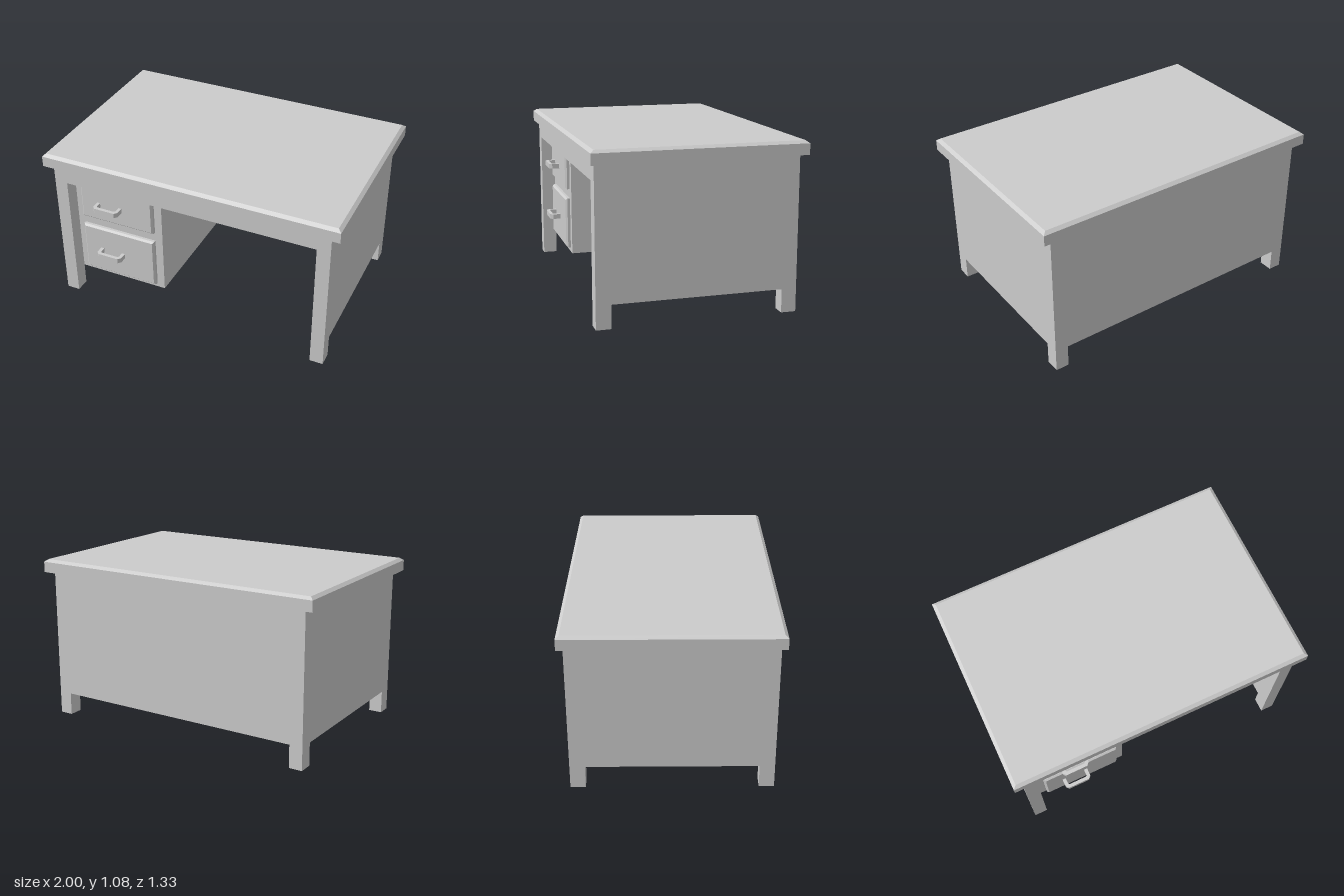
import * as THREE from 'three';

const grey = new THREE.MeshStandardMaterial({ color: 0xcccccc, flatShading: true });
const openGrey = new THREE.MeshStandardMaterial({ color: 0xcccccc, flatShading: true, side: THREE.DoubleSide });

// Outer half width, back and front of the body, and thickness of its walls
const W = 0.94, BACK = -0.63, FRONT = 0.635, TX = 0.088, TZ = 0.095;
const FLOOR = 0.15, LINTEL = 0.88, TOP = 0.99;

function add(parent, name, geometry, material = grey) {
  const mesh = new THREE.Mesh(geometry, material);
  mesh.name = name;
  parent.add(mesh);
  return mesh;
}

// Box given by its two extreme corners
function block(parent, name, [x0, y0, z0], [x1, y1, z1]) {
  const g = new THREE.BoxGeometry(x1 - x0, y1 - y0, z1 - z0);
  return add(parent, name, g.translate((x0 + x1) / 2, (y0 + y1) / 2, (z0 + z1) / 2));
}

// Slab standing on y = 0 whose upper rim is chamfered
function bevelledSlab(w, h, d, rise, inset) {
  const g = new THREE.BoxGeometry(w, h, d, 1, 2, 1);
  const p = g.attributes.position;
  for (let i = 0; i < p.count; i++) {
    const y = p.getY(i);
    if (y > h / 4) {
      p.setXYZ(i, Math.sign(p.getX(i)) * (w / 2 - inset), h, Math.sign(p.getZ(i)) * (d / 2 - inset));
    } else {
      p.setY(i, y < -h / 4 ? 0 : h - rise);
    }
  }
  g.computeVertexNormals();
  return g;
}

// Square foot, open underneath
function foot(parent, name, x, z) {
  const g = new THREE.CylinderGeometry(Math.SQRT1_2, Math.SQRT1_2, 1, 4, 1, true);
  g.rotateY(Math.PI / 4).scale(TX, FLOOR, TZ).translate(x, FLOOR / 2, z);
  add(parent, name, g, openGrey);
}

// Bow handle: a flat bar with slanted ends, reaching out along +z
function handleGeometry() {
  const outline = [[-0.09, 0], [-0.09, 0.05], [-0.072, 0.07], [0.072, 0.07], [0.09, 0.05], [0.09, 0],
    [0.068, 0], [0.068, 0.04], [0.06, 0.048], [-0.06, 0.048], [-0.068, 0.04], [-0.068, 0]];
  const shape = new THREE.Shape(outline.map(([x, y]) => new THREE.Vector2(x, y)));
  const g = new THREE.ExtrudeGeometry(shape, { depth: 0.033, bevelEnabled: false });
  return g.translate(0, 0, -0.0165).rotateX(Math.PI / 2);
}

export function createModel() {
  const desk = new THREE.Group();
  desk.name = 'desk';

  // Worktop
  add(desk, 'worktop', bevelledSlab(2, 0.087, 1.33, 0.017, 0.022)).position.y = TOP;

  // Thick side walls, front posts and feet, mirrored
  for (const [s, side] of [[1, 'left'], [-1, 'right']]) {
    const x0 = s > 0 ? W - TX : -W, x1 = x0 + TX;
    block(desk, side + 'SideWall', [x0, FLOOR, BACK], [x1, TOP, FRONT]);
    foot(desk, side + 'FrontFoot', s * (W - TX / 2), FRONT - TZ / 2);
    foot(desk, side + 'BackFoot', s * (W - TX / 2), BACK + TZ / 2);
  }

  // Back wall, and the frame under the worktop
  block(desk, 'backWall', [TX - W, FLOOR, BACK], [W - TX, TOP, BACK + TZ]);
  block(desk, 'topFrame', [TX - W, LINTEL, BACK + TZ], [W - TX, TOP, FRONT]);

  // Drawer cabinet set back behind the posts
  const face = FRONT - TZ;
  block(desk, 'drawerCabinet', [TX - W, FLOOR, BACK + TZ], [-0.225, LINTEL, face]);

  // Drawers with their handles
  for (const [name, y0, y1, handleY] of [['upper', 0.597, 0.848, 0.722], ['lower', 0.18, 0.532, 0.355]]) {
    const drawer = new THREE.Group();
    drawer.name = name + 'Drawer';
    drawer.position.set(-0.54, 0, face);
    const front = bevelledSlab(0.525, 0.03, y1 - y0, 0.012, 0.012).rotateX(Math.PI / 2);
    add(drawer, 'drawerFront', front).position.y = (y0 + y1) / 2;
    const handle = add(drawer, 'drawerHandle', handleGeometry());
    handle.position.set(-0.05, handleY, 0.03);
    desk.add(drawer);
  }

  return desk;
}
